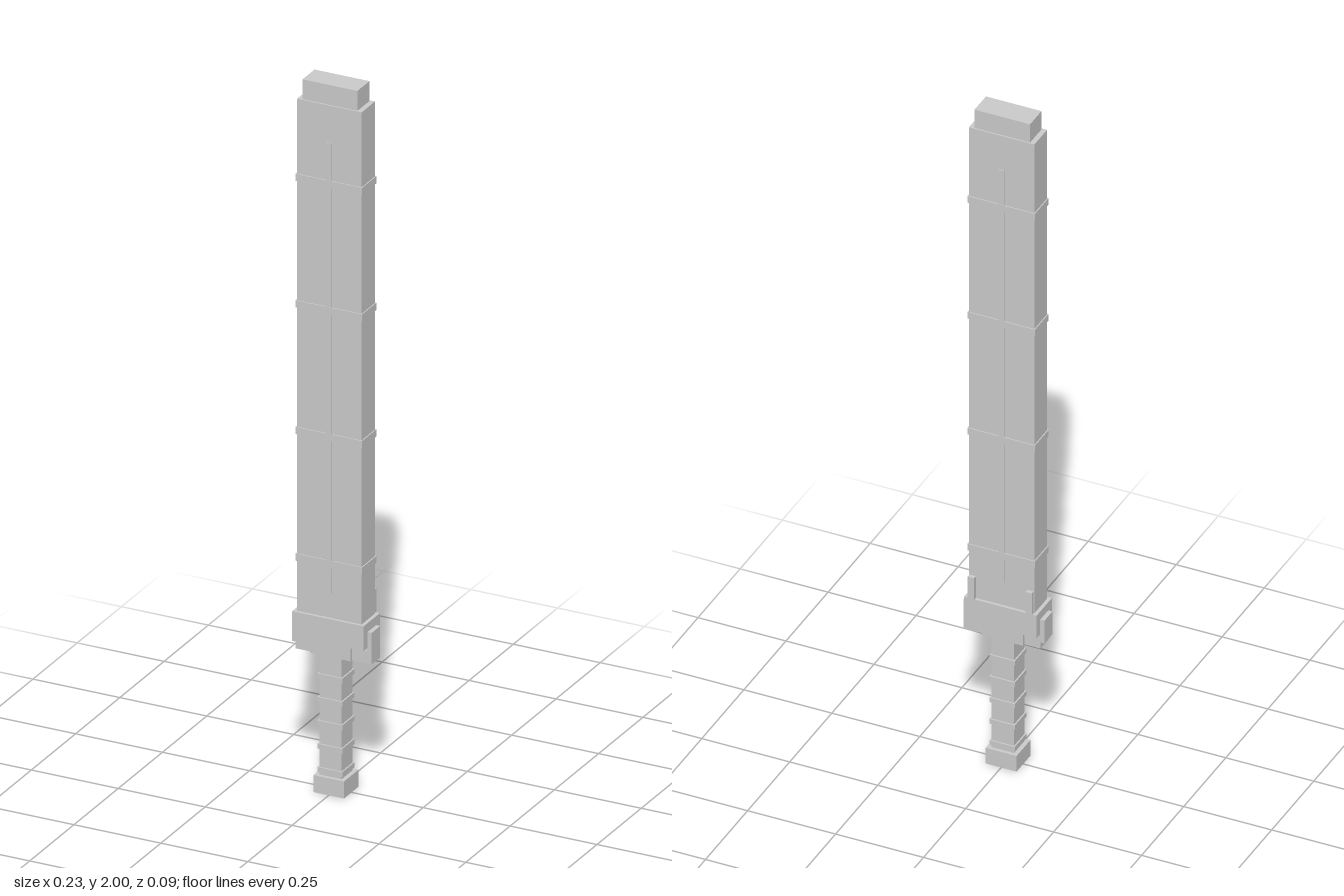
import * as THREE from 'three';

export function createModel() {
  const group = new THREE.Group();
  const steel = new THREE.MeshStandardMaterial({ color: 0xcccccc });
  steel.name = 'pale grey steel';
  const axisZ = 0.0015; // sword axis, offset to balance the back clips

  // Box given by its limits on each axis, with z measured from the sword axis
  function block(name, [x0, x1], [y0, y1], [z0, z1]) {
    const mesh = new THREE.Mesh(new THREE.BoxGeometry(x1 - x0, y1 - y0, z1 - z0), steel);
    mesh.position.set((x0 + x1) / 2, (y0 + y1) / 2, (z0 + z1) / 2 + axisZ);
    mesh.name = name;
    group.add(mesh);
  }
  // Box centred on the sword's axis
  const centred = (name, hx, hz, y0, y1) => block(name, [-hx, hx], [y0, y1], [-hz, hz]);

  // Grip
  centred('pommel', 0.044, 0.041, 0, 0.048);
  centred('grip', 0.032, 0.031, 0.048, 0.39);
  for (let i = 0; i < 5; i++) {
    const y = 0.063 + i * 0.066;
    centred('gripRing', 0.036, 0.035, y - 0.007, y + 0.007);
  }

  // Guard
  centred('guardCollar', 0.058, 0.032, 0.386, 0.43);
  centred('guard', 0.103, 0.046, 0.43, 0.5);

  // Sheath with a narrower end cap and raised bands
  centred('sheath', 0.093, 0.038, 0.5, 1.944);
  centred('sheathTip', 0.079, 0.034, 1.944, 2);
  for (let i = 0; i < 4; i++) {
    const y = 0.652 + i * 0.357;
    centred('sheathBand', 0.096, 0.041, y - 0.01, y + 0.01);
  }

  for (const s of [-1, 1]) {
    const side = (a, b) => (s > 0 ? [a, b] : [-b, -a]);
    // Thin spine on the front and back faces
    block('spine', [-0.008, 0.008], [0.57, 1.84], side(0.037, 0.0405));
    // Hooked arm that clasps each end of the guard
    block('guardHookFoot', side(0.056, 0.104), [0.386, 0.42], [-0.024, 0.024]);
    block('guardHookArm', side(0.1, 0.115), [s > 0 ? 0.386 : 0.405, 0.475], [-0.024, 0.024]);
    // Clips on the back
    block('backClip', side(0.073, 0.091), [0.5, 0.567], [-0.049, -0.036]);
  }

  return group;
}
